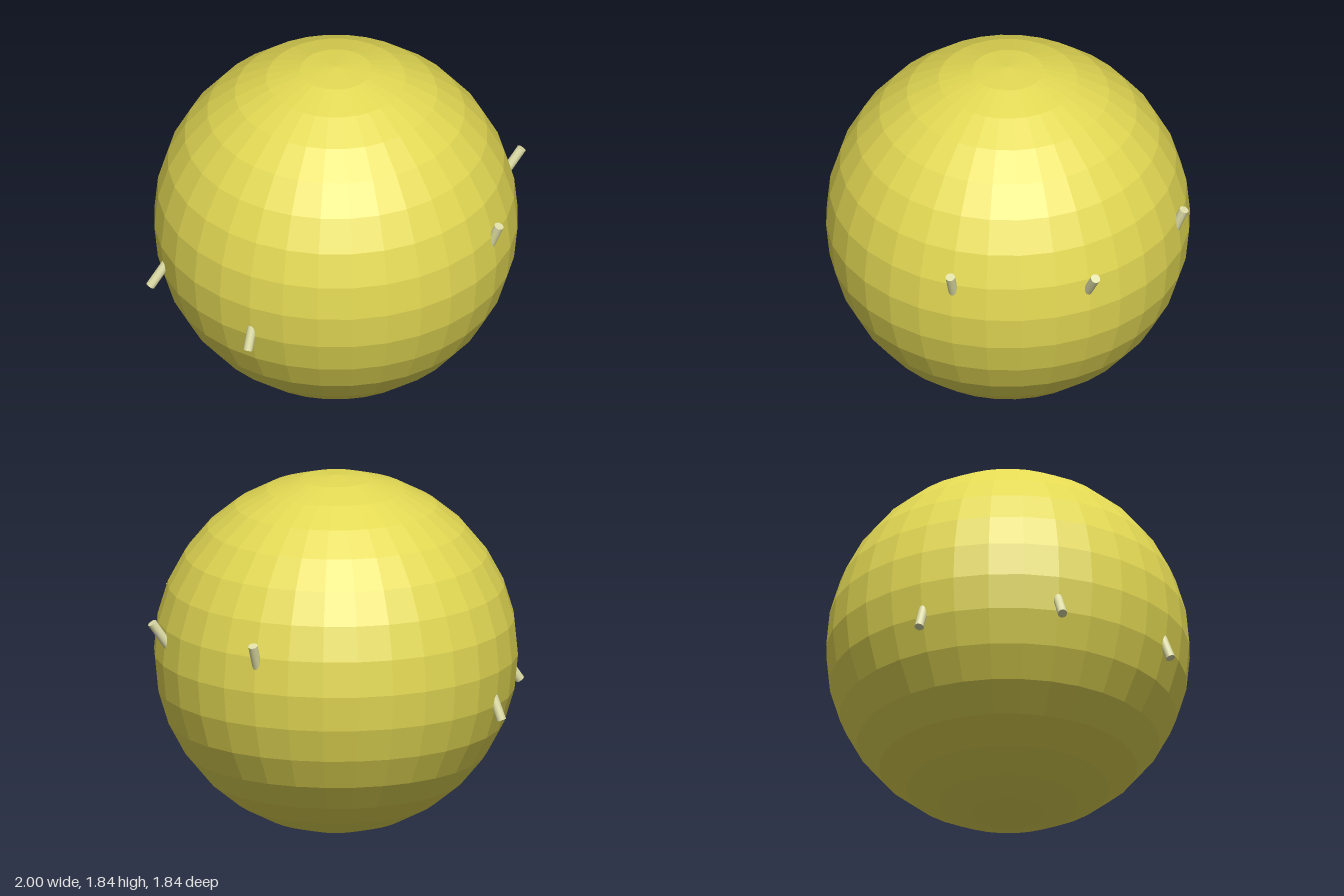
import * as THREE from 'three';

const RADIUS = 0.922;
const CENTRE = 0.924;

export function createModel() {
  const model = new THREE.Group();
  model.name = 'studdedBall';

  const ballMaterial = new THREE.MeshStandardMaterial({ color: 0xe3d954, flatShading: true });
  const pegMaterial = new THREE.MeshStandardMaterial({ color: 0xe0dfa8 });

  // Faceted ball
  const ball = new THREE.Mesh(new THREE.SphereGeometry(RADIUS, 32, 16), ballMaterial);
  ball.name = 'ball';
  ball.position.y = CENTRE;
  model.add(ball);

  // Short round pegs: raised on the left half, dropped on the right half
  const length = 0.26;
  const pegGeometry = new THREE.CylinderGeometry(0.024, 0.024, length, 16);
  pegGeometry.translate(0, -length / 2, 0); // origin at the outer tip
  const up = new THREE.Vector3(0, 1, 0);

  function addPeg(name, tip, direction) {
    const peg = new THREE.Mesh(pegGeometry, pegMaterial);
    peg.name = name;
    peg.position.set(tip[0], CENTRE + tip[1], tip[2]);
    peg.quaternion.setFromUnitVectors(up, new THREE.Vector3(...direction).normalize());
    model.add(peg);
  }

  for (const side of [1, -1]) {
    const label = side > 0 ? 'left' : 'right';
    addPeg(label + 'MiddlePeg', [side * 0.979, side * 0.229, 0], [side * 0.69, side, 0]);
    for (const end of [1, -1]) {
      addPeg(label + (end > 0 ? 'Front' : 'Back') + 'Peg',
        [side * 0.662, side * 0.249, end * 0.662],
        [side * 0.28, side, end * 0.28]);
    }
  }

  return model;
}
